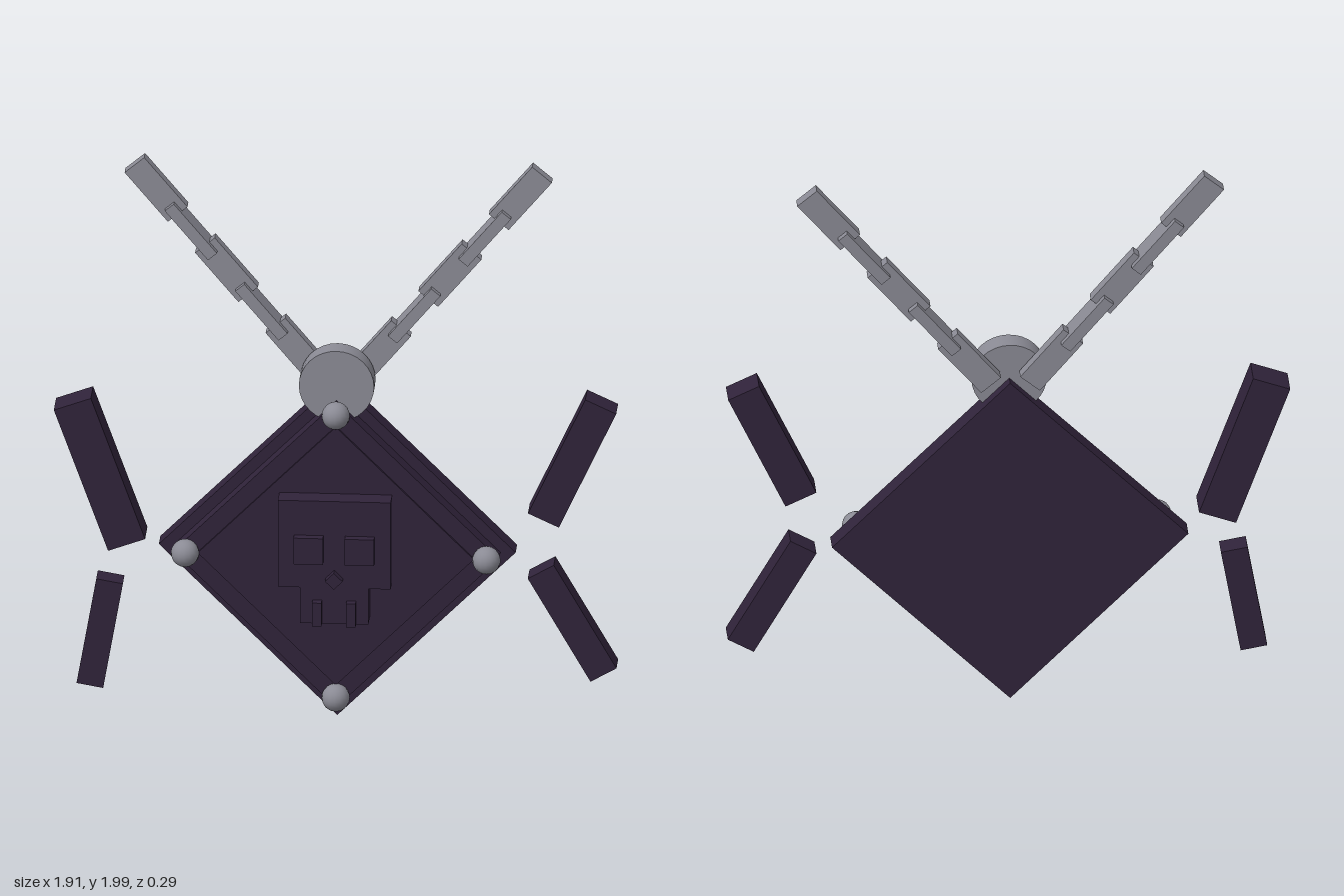
import * as THREE from 'three';

export function createModel() {
  const model = new THREE.Group();
  const wood = new THREE.MeshStandardMaterial({ color: 0x30233a });
  wood.name = 'dark purple';
  const metal = new THREE.MeshStandardMaterial({ color: 0x8b8b95 });
  metal.name = 'grey metal';

  const add = (name, geometry, material, x, y, z, tilt = 0, parent = model) => {
    const mesh = new THREE.Mesh(geometry, material);
    mesh.name = name;
    mesh.position.set(x, y, z);
    mesh.rotation.z = THREE.MathUtils.degToRad(tilt);
    parent.add(mesh);
    return mesh;
  };
  // Box given by its x, y and z ranges
  const block = (name, x0, x1, y0, y1, z0, z1, parent) =>
    add(name, new THREE.BoxGeometry(x1 - x0, y1 - y0, z1 - z0), wood,
      (x0 + x1) / 2, (y0 + y1) / 2, (z0 + z1) / 2, 0, parent);
  // Square plate standing on its corner, given by half its diagonal
  const diamond = (name, half, y, z0, z1, parent) =>
    add(name, new THREE.BoxGeometry(half * Math.SQRT2, half * Math.SQRT2, z1 - z0), wood,
      0, y, (z0 + z1) / 2, 45, parent);

  // Stepped diamond board
  const cy = 0.612;
  diamond('backBoard', 0.607, cy, -0.105, -0.03);
  diamond('frontBoard', 0.555, cy, -0.03, 0.035);
  diamond('innerPanel', 0.47, cy, 0.03, 0.045);

  // Round studs on the corners
  const stud = new THREE.SphereGeometry(0.048, 16, 12);
  for (const [x, y] of [[0.513, cy], [-0.513, cy], [0, cy + 0.513], [0, cy - 0.513]]) {
    add('cornerStud', stud, metal, x, y, 0.048);
  }

  // Raised skull emblem
  const skull = new THREE.Group();
  skull.name = 'skull';
  model.add(skull);
  block('cranium', -0.192, 0.192, 0.525, 0.84, 0.04, 0.12, skull);
  block('jaw', -0.116, 0.116, 0.395, 0.525, 0.04, 0.12, skull);
  diamond('nose', 0.03, 0.56, 0.11, 0.15, skull);
  for (const s of [-1, 1]) {
    const eye = block('eye', -0.05, 0.05, 0.62, 0.715, 0.11, 0.15, skull);
    eye.position.x = s * 0.087;
    const tooth = block('tooth', -0.016, 0.016, 0.395, 0.48, 0.11, 0.15, skull);
    tooth.position.x = s * 0.058;
  }

  // Hanging disc
  const disc = new THREE.CylinderGeometry(0.128, 0.128, 0.077, 32).rotateX(Math.PI / 2);
  add('hangingDisc', disc, metal, 0, 1.217, -0.028);

  // Two chains of links turned alternately flat and on edge
  const flatLink = new THREE.BoxGeometry(0.087, 0.229, 0.043);
  const edgeLink = new THREE.BoxGeometry(0.04, 0.229, 0.088);
  for (const s of [-1, 1]) {
    const chain = new THREE.Group();
    chain.name = s > 0 ? 'leftChain' : 'rightChain';
    model.add(chain);
    for (let i = 0; i < 5; i++) {
      add('chainLink', i % 2 ? edgeLink : flatLink, metal,
        s * (0.14 + 0.12 * i), 1.311 + 0.143 * i, -0.1, -s * 40, chain);
    }
  }

  // Loose splinters: x, y, z, width, length, depth, tilt
  const splinters = [
    [-0.803, 0.895, 0.005, 0.134, 0.54, 0.115, 20],
    [-0.803, 0.312, 0.01, 0.092, 0.387, 0.08, -10],
    [0.805, 0.975, 0.01, 0.116, 0.462, 0.096, -25],
    [0.805, 0.392, 0.012, 0.102, 0.427, 0.086, 30],
  ];
  for (const [x, y, z, w, l, d, tilt] of splinters) {
    add('splinter', new THREE.BoxGeometry(w, l, d), wood, x, y, z, tilt);
  }

  return model;
}
